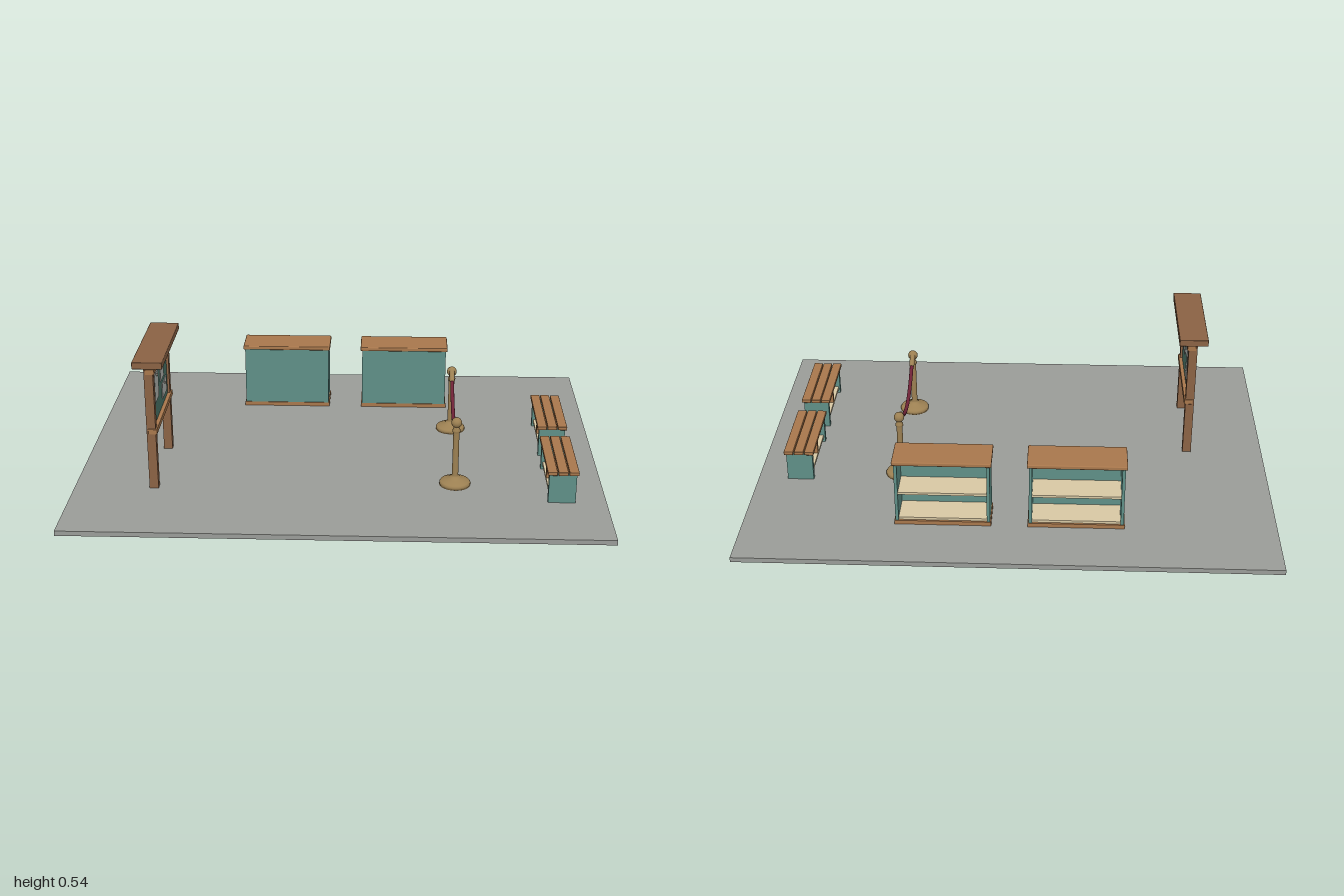
import * as THREE from 'three';
import { RoundedBoxGeometry } from 'three/addons/geometries/RoundedBoxGeometry.js';

const mat = (color) => new THREE.MeshStandardMaterial({ color });
const M = {
  floor: mat(0x9a9c98), teal: mat(0x5f8f87), board: mat(0x4a7568), wood: mat(0xa8774c),
  darkWood: mat(0x8a6244), cream: mat(0xd8c8a4), brass: mat(0x9c8052), rope: mat(0x6e2236),
  paper: mat(0xb4b8b2), pin: mat(0x8f8a80),
};

function add(parent, name, geometry, material) {
  const mesh = new THREE.Mesh(geometry, material);
  mesh.name = name;
  parent.add(mesh);
  return mesh;
}

// Box given by its min and max on each axis, with optional rounded edges
function box(parent, name, material, [x0, x1], [y0, y1], [z0, z1], round = 0) {
  const size = [x1 - x0, y1 - y0, z1 - z0];
  const geo = round ? new RoundedBoxGeometry(...size, 2, round) : new THREE.BoxGeometry(...size);
  const mesh = add(parent, name, geo, material);
  mesh.position.set((x0 + x1) / 2, (y0 + y1) / 2, (z0 + z1) / 2);
  return mesh;
}

function group(parent, name, x = 0, y = 0, z = 0) {
  const g = new THREE.Group();
  g.name = name;
  g.position.set(x, y, z);
  parent.add(g);
  return g;
}

// Service counter: closed at the front, open shelves at the back
function counter(parent, x) {
  const g = group(parent, 'counter', x, 0, -0.472);
  box(g, 'plinth', M.wood, [-0.181, 0.181], [0.02, 0.036], [-0.068, 0.068]);
  box(g, 'frontPanel', M.teal, [-0.177, 0.177], [0.036, 0.276], [0.053, 0.065]);
  for (const s of [-1, 1]) {
    const side = box(g, 'sidePanel', M.teal, [-0.006, 0.006], [0.036, 0.276], [-0.065, 0.053]);
    side.position.x = s * 0.171;
  }
  for (const y of [0.036, 0.145]) {
    box(g, 'shelf', M.cream, [-0.165, 0.165], [y, y + 0.01], [-0.06, 0.053]);
  }
  box(g, 'counterTop', M.wood, [-0.184, 0.184], [0.276, 0.292], [-0.073, 0.073], 0.004);
}

// Slatted bench with a low shelf and central divider
function bench(parent, z) {
  const g = group(parent, 'bench', 0.8325, 0, z);
  for (const x of [-0.04, 0, 0.04]) {
    box(g, 'seatSlat', M.wood, [x - 0.018, x + 0.018], [0.134, 0.148], [-0.166, 0.166], 0.002);
  }
  for (const s of [-1, 1]) {
    const leg = box(g, 'legPanel', M.teal, [-0.051, 0.051], [0.02, 0.134], [-0.0105, 0.0105]);
    leg.position.z = s * 0.146;
  }
  box(g, 'lowShelf', M.cream, [-0.045, 0.045], [0.038, 0.05], [-0.136, 0.136]);
  box(g, 'divider', M.wood, [-0.045, 0.045], [0.05, 0.134], [-0.008, 0.008]);
}

// Notice board facing +x, with a flat roof and pinned papers
function noticeBoard(parent) {
  const g = group(parent, 'noticeBoard', -0.697, 0, 0.225);
  for (const s of [-1, 1]) {
    const post = box(g, 'post', M.darkWood, [-0.017, 0.017], [0.02, 0.512], [-0.015, 0.015]);
    post.position.z = s * 0.181;
  }
  box(g, 'panel', M.board, [-0.008, 0.008], [0.25, 0.49], [-0.166, 0.166]);
  for (const y of [0.242, 0.48]) {
    box(g, 'rail', M.wood, [-0.011, 0.023], [y, y + 0.021], [-0.2, 0.2], 0.002);
  }
  box(g, 'roof', M.darkWood, [-0.056, 0.056], [0.51, 0.537], [-0.2205, 0.2205], 0.003);
  box(g, 'roofBeam', M.darkWood, [-0.011, 0.011], [0.5, 0.512], [-0.166, 0.166]);
  // z centre, y centre, width, height
  const papers = [[0.087, 0.394, 0.082, 0.111], [-0.041, 0.41, 0.079, 0.075], [-0.085, 0.32, 0.1, 0.061]];
  for (const [z, y, w, h] of papers) {
    box(g, 'paper', M.paper, [0.008, 0.011], [y - h / 2, y + h / 2], [z - w / 2, z + w / 2]);
    const pin = add(g, 'pin', new THREE.SphereGeometry(0.005, 10, 8), M.pin);
    pin.position.set(0.013, y + h / 2 - 0.011, z);
  }
}

// Two turned posts with a rope hanging between them
function ropeBarrier(parent) {
  const g = group(parent, 'ropeBarrier', 0.442, 0, 0.083);
  const profile = [
    [0, 0.02], [0.059, 0.02], [0.059, 0.03], [0.055, 0.036], [0.036, 0.043], [0.022, 0.049],
    [0.018, 0.056], [0.012, 0.06], [0.0115, 0.235], [0.015, 0.238], [0.015, 0.246],
    [0.011, 0.25], [0.011, 0.262], [0, 0.262],
  ].map(([r, y]) => new THREE.Vector2(r, y));
  for (const s of [-1, 1]) {
    const post = group(g, 'barrierPost', 0, 0, s * 0.263);
    const lathe = new THREE.LatheGeometry(profile, 28);
    add(post, 'postAndBase', lathe, M.brass);
    add(post, 'finial', new THREE.SphereGeometry(0.02, 20, 14), M.brass).position.y = 0.275;
    // Ferrule sloping down towards the rope
    const path = new THREE.LineCurve3(
      new THREE.Vector3(0, 0.279, -s * 0.012), new THREE.Vector3(0, 0.257, -s * 0.054));
    add(post, 'ferrule', new THREE.TubeGeometry(path, 1, 0.0105, 14), M.brass);
    const cap = add(post, 'ferruleCap', new THREE.SphereGeometry(0.0105, 14, 10), M.brass);
    cap.position.copy(path.v2);
  }
  const points = [];
  for (let i = 0; i <= 12; i++) {
    const t = i / 6 - 1;
    points.push(new THREE.Vector3(0, 0.181 + 0.078 * t * t, t * 0.212));
  }
  const curve = new THREE.CatmullRomCurve3(points);
  add(g, 'rope', new THREE.TubeGeometry(curve, 48, 0.0075, 12), M.rope);
}

export function createModel() {
  const model = new THREE.Group();
  model.name = 'visitorArea';
  box(model, 'floor', M.floor, [-1, 1], [0, 0.019], [-0.78, 0.78]);
  for (const x of [-0.25, 0.248]) counter(model, x);
  for (const z of [-0.083, 0.335]) bench(model, z);
  noticeBoard(model);
  ropeBarrier(model);
  return model;
}
